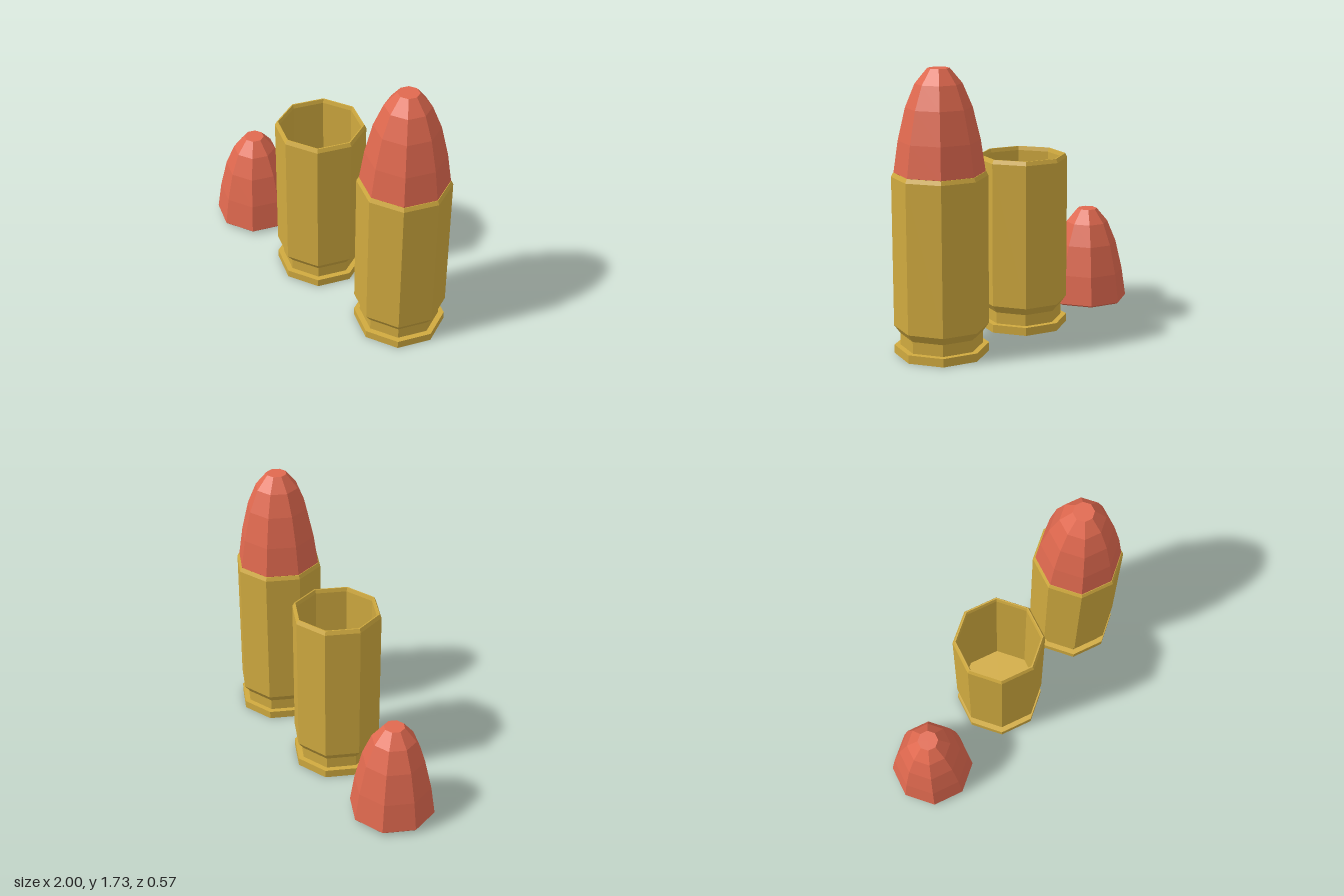
import * as THREE from 'three';

const SIDES = 8;
const material = (color) => new THREE.MeshStandardMaterial({ color, flatShading: true });
const brass = material(0xd0aa3f);
const red = material(0xe0694f);
const grey = material(0xcccccc);

// Eight-sided turned part from [radius, height] pairs, listed bottom to top
function turned(name, profile, mat) {
  const points = profile.map(([r, y]) => new THREE.Vector2(r, y));
  const mesh = new THREE.Mesh(new THREE.LatheGeometry(points, SIDES), mat);
  mesh.name = name;
  return mesh;
}

// Pointed tip with a flat nose and a small bevel at its base
function makeTip() {
  return turned('tip', [
    [0, 0.015], [0.262, 0.015], [0.272, 0.025], [0.244, 0.215],
    [0.198, 0.41], [0.14, 0.55], [0.066, 0.64], [0, 0.64],
  ], red);
}

// Hollow casing with rim, groove, bevelled mouth and a primer in its base
function makeCasing() {
  const casing = new THREE.Group();
  casing.name = 'casing';
  casing.add(turned('shell', [
    [0.1, 0.025], [0.1, 0.015], [0.135, 0], [0.287, 0], [0.287, 0.052],
    [0.25, 0.052], [0.25, 0.125], [0.287, 0.175], [0.287, 1.09],
    [0.275, 1.115], [0.267, 1.115], [0.26, 1.09], [0.26, 0.18], [0, 0.18],
  ], brass));
  casing.add(turned('primer', [[0, 0.008], [0.088, 0.008], [0.1, 0.02]], grey));
  return casing;
}

export function createModel() {
  const model = new THREE.Group();
  model.name = 'cartridgeSet';

  // Loose tip
  const looseTip = makeTip();
  looseTip.name = 'looseTip';
  looseTip.position.x = -0.728;

  // Empty casing
  const emptyCasing = makeCasing();
  emptyCasing.name = 'emptyCasing';
  emptyCasing.position.x = -0.043;

  // Assembled round
  const round = new THREE.Group();
  round.name = 'assembledRound';
  const seatedTip = makeTip();
  seatedTip.name = 'seatedTip';
  seatedTip.position.y = 1.091;
  round.add(makeCasing(), seatedTip);
  round.position.x = 0.713;

  model.add(looseTip, emptyCasing, round);
  return model;
}
